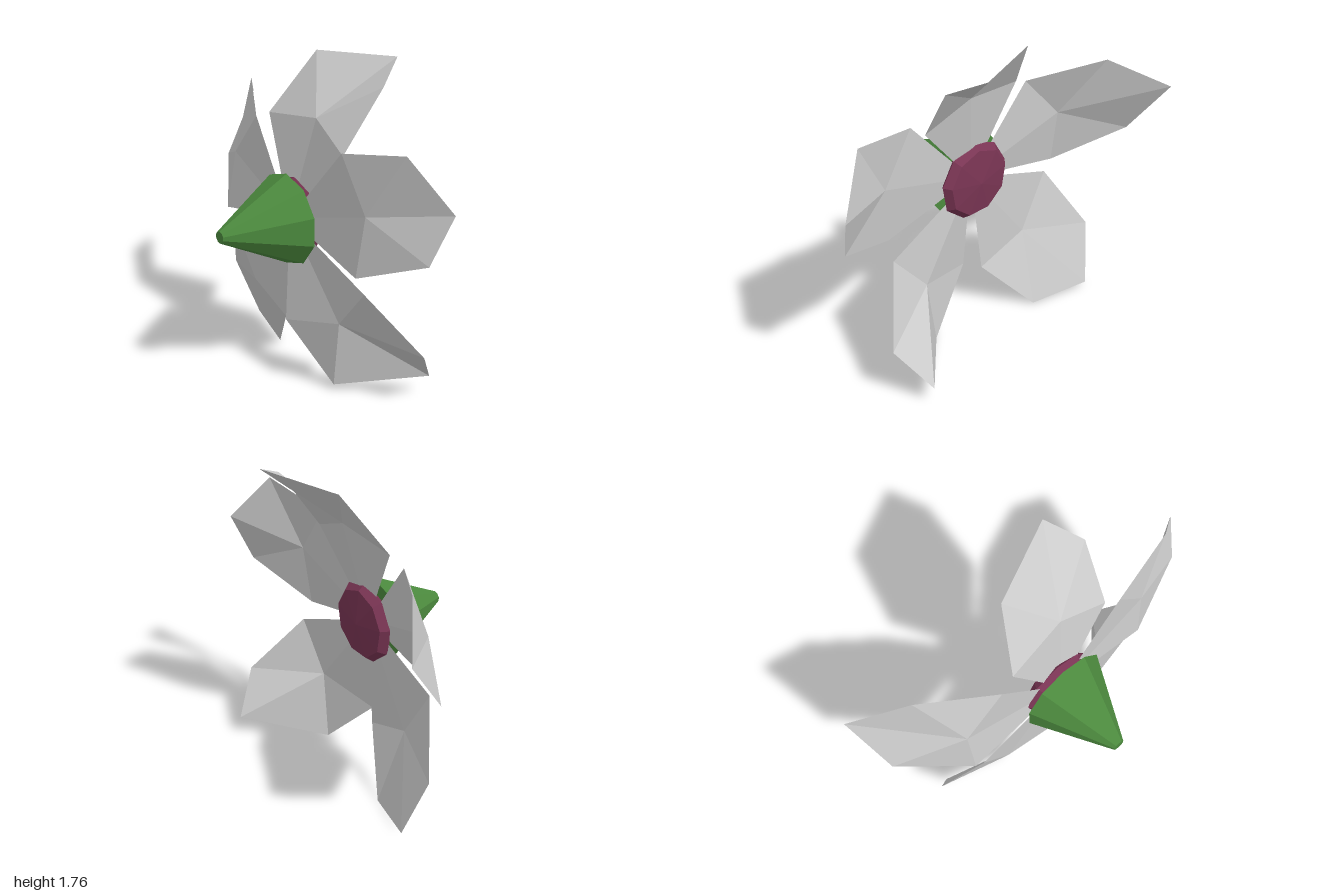
import * as THREE from 'three';

const CENTRE_Y = 0.91;

// One folded petal: a fan of facets from a raised middle point to the outline.
function petalGeometry(middle, outline) {
  const ring = [[-0.02, CENTRE_Y, 0], ...outline];
  const positions = [];
  ring.forEach((p, i) => {
    positions.push(...middle, ...p, ...ring[(i + 1) % ring.length]);
  });
  const geometry = new THREE.BufferGeometry();
  geometry.setAttribute('position', new THREE.Float32BufferAttribute(positions, 3));
  geometry.computeVertexNormals();
  return geometry;
}

// Middle point and outer corners of each petal, counter-clockwise seen from +x.
const PETALS = {
  topPetal: [[0.08, 1.46, 0.09],
    [[0.04, 1.41, -0.26], [0.25, 1.74, -0.13], [0.43, 1.77, 0.3], [0.25, 1.67, 0.41], [0.04, 1.34, 0.36]]],
  upperFrontPetal: [[0, 1.1, 0.59],
    [[-0.01, 1.38, 0.41], [0.07, 1.46, 0.8], [0.21, 1.19, 1], [0.11, 0.93, 0.94], [-0.03, 0.77, 0.56]]],
  lowerFrontPetal: [[0.03, 0.42, 0.36],
    [[0.02, 0.67, 0.57], [0.25, 0.33, 0.78], [0.41, 0.12, 0.65], [0.04, 0.04, 0.31], [-0.06, 0.34, 0.02]]],
  lowerBackPetal: [[0.01, 0.42, -0.36],
    [[0, 0.31, -0.06], [0.15, 0.01, -0.32], [0.24, 0.04, -0.65], [0.14, 0.36, -0.74], [-0.01, 0.72, -0.54]]],
  upperBackPetal: [[0.04, 1.1, -0.58],
    [[-0.01, 0.78, -0.59], [0.23, 0.95, -0.93], [0.46, 1.27, -1], [0.25, 1.45, -0.72], [0.02, 1.37, -0.35]]],
};

export function createModel() {
  const flower = new THREE.Group();
  flower.name = 'flower';

  const petalMaterial = new THREE.MeshStandardMaterial({
    color: 0xcccccc, flatShading: true, side: THREE.DoubleSide,
  });
  const green = new THREE.MeshStandardMaterial({ color: 0x4c8a3e, flatShading: true });
  const plum = new THREE.MeshStandardMaterial({ color: 0x7a3554, flatShading: true });

  // Parts turned about the flower's axis, which runs along x.
  const addTurned = (name, geometry, material, x) => {
    const mesh = new THREE.Mesh(geometry, material);
    mesh.name = name;
    mesh.rotation.z = -Math.PI / 2;
    mesh.position.set(x, CENTRE_Y, 0);
    flower.add(mesh);
  };

  // Petals
  for (const [name, [middle, outline]] of Object.entries(PETALS)) {
    const petal = new THREE.Mesh(petalGeometry(middle, outline), petalMaterial);
    petal.name = name;
    flower.add(petal);
  }

  // Green cup behind the petals
  addTurned('calyx',
    new THREE.CylinderGeometry(0.25, 0.033, 0.42, 10, 1, false, Math.PI / 2), green, -0.25);

  // Bevelled centre disc
  const profile = [[0, -0.03], [0.19, -0.03], [0.222, 0.005], [0.19, 0.045], [0, 0.065]]
    .map(([r, h]) => new THREE.Vector2(r, h));
  addTurned('centreDisc', new THREE.LatheGeometry(profile, 9, -Math.PI / 2), plum, 0);

  return flower;
}
